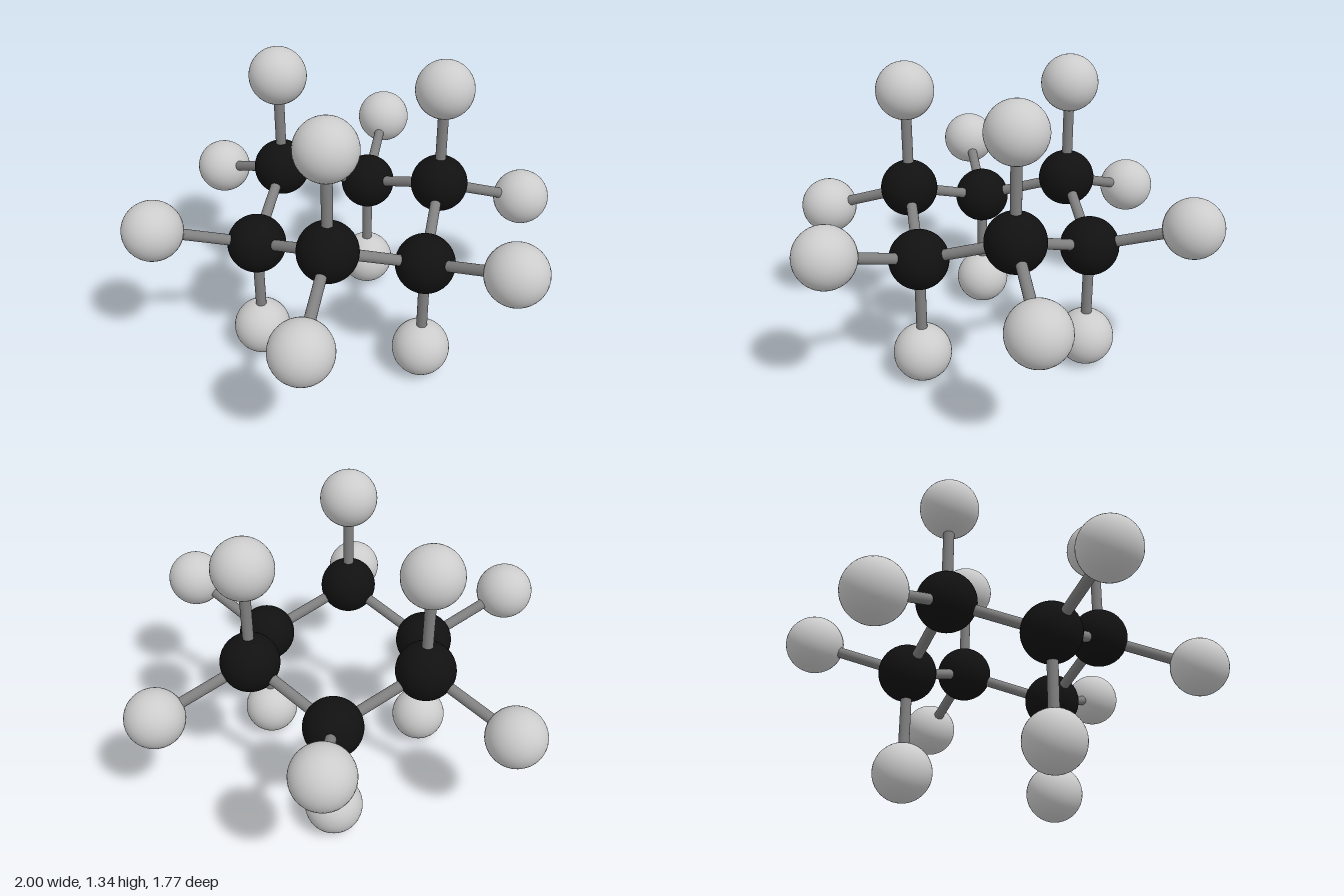
import * as THREE from 'three';

const ATOM_RADIUS = 0.13;
const BOND_RADIUS = 0.024;
const RING_RADIUS = 0.433;
const OUTER_RADIUS = 0.87;
const MID_Y = 0.67;
const PUCKER = 0.077; // ring atoms alternate above and below the middle
const AXIAL = 0.54; // height of the upright outer atoms from the middle

export function createModel() {
  const model = new THREE.Group();
  model.name = 'chairRingMolecule';

  const darkMaterial = new THREE.MeshStandardMaterial({ color: 0x111111 });
  const lightMaterial = new THREE.MeshStandardMaterial({ color: 0xcccccc });
  const bondMaterial = new THREE.MeshStandardMaterial({ color: 0x808080 });
  const atomGeometry = new THREE.SphereGeometry(ATOM_RADIUS, 40, 24);

  const addAtom = (name, position, material) => {
    const atom = new THREE.Mesh(atomGeometry, material);
    atom.name = name;
    atom.position.copy(position);
    model.add(atom);
  };

  // Rod joining two atom centres
  const up = new THREE.Vector3(0, 1, 0);
  const addBond = (name, a, b) => {
    const dir = b.clone().sub(a);
    const geometry = new THREE.CylinderGeometry(BOND_RADIUS, BOND_RADIUS, dir.length(), 20);
    const bond = new THREE.Mesh(geometry, bondMaterial);
    bond.name = name;
    bond.position.copy(a).lerp(b, 0.5);
    bond.quaternion.setFromUnitVectors(up, dir.normalize());
    model.add(bond);
  };

  const polar = (radius, i, y) => {
    const angle = (i * Math.PI) / 3;
    return new THREE.Vector3(radius * Math.cos(angle), y, radius * Math.sin(angle));
  };
  const side = (i) => (i % 2 ? 1 : -1); // odd ring atoms sit high, even ones low
  const ringPoint = (i) => polar(RING_RADIUS, i, MID_Y + side(i) * PUCKER);

  for (let i = 0; i < 6; i++) {
    const centre = ringPoint(i);
    const axial = polar(RING_RADIUS, i, MID_Y + side(i) * AXIAL);
    const outward = polar(OUTER_RADIUS, i, MID_Y - side(i) * PUCKER);

    addAtom('ringAtom', centre, darkMaterial);
    addAtom('uprightAtom', axial, lightMaterial);
    addAtom('outwardAtom', outward, lightMaterial);

    addBond('ringBond', centre, ringPoint(i + 1));
    addBond('uprightBond', centre, axial);
    addBond('outwardBond', centre, outward);
  }
  return model;
}
